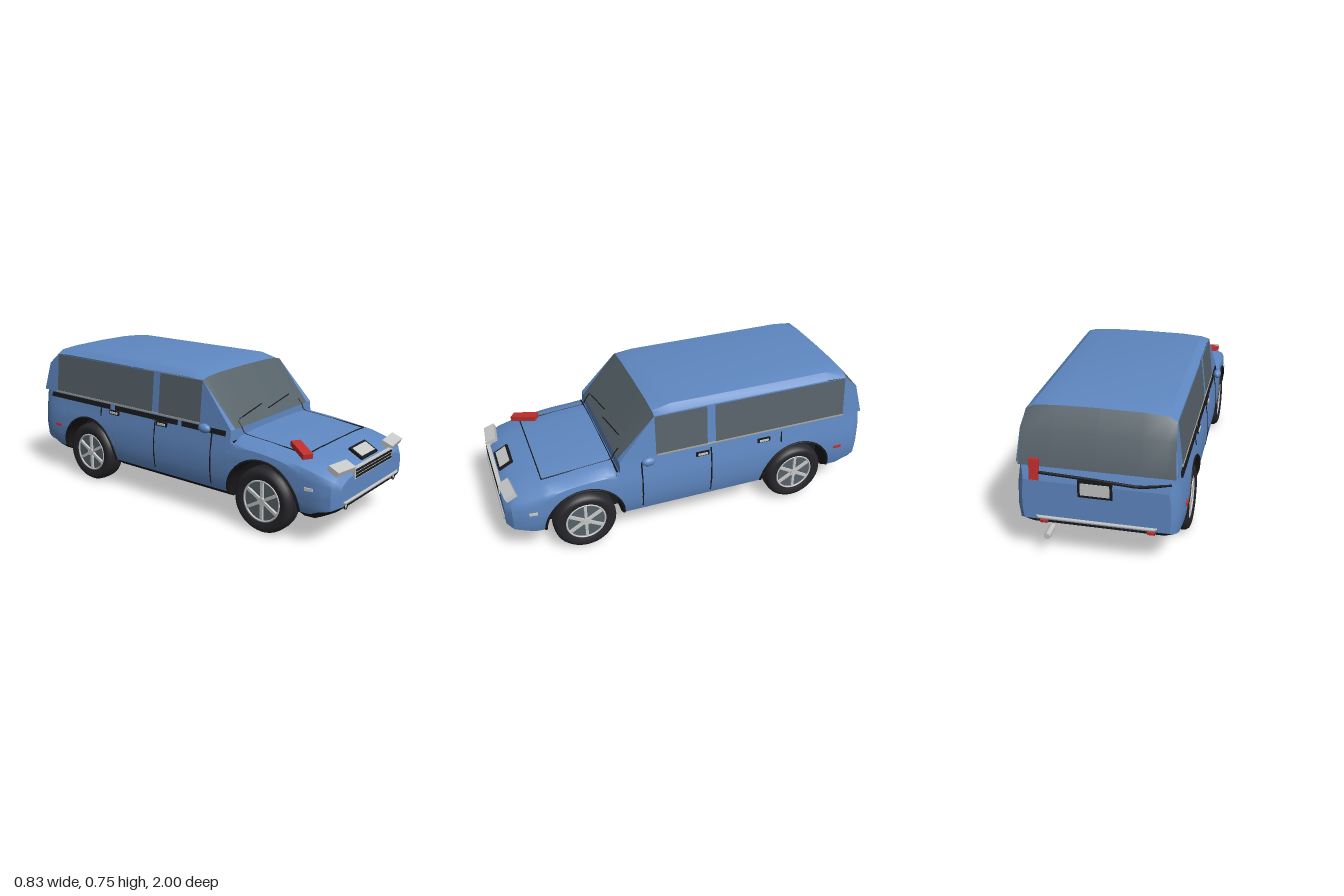
import * as THREE from 'three';
import { toCreasedNormals } from 'three/addons/utils/BufferGeometryUtils.js';

const mat = (name, color, open) => {
  const m = new THREE.MeshStandardMaterial({ color });
  m.name = name;
  if (open) m.side = THREE.DoubleSide;
  return m;
};
const PAINT = mat('bluePaint', 0x5f88c2, true), GLASS = mat('tintedGlass', 0x566269, true);
const TRIM = mat('blackTrim', 0x19191c, true), TIRE = mat('tireRubber', 0x26262b);
const CHROME = mat('silver', 0xc6c8c8), RED = mat('redLens', 0xc22f2f), CREAM = mat('paleTrim', 0xa9a99c);

// linear lookup in a table of [key, value] with ascending keys
const look = (t, k) => {
  if (k <= t[0][0]) return t[0][1];
  for (let i = 1; i < t.length; i++) if (k <= t[i][0]) {
    const [a, u] = t[i - 1], [b, v] = t[i];
    return u + (v - u) * (k - a) / (b - a);
  }
  return t[t.length - 1][1];
};
const TOP = [[-0.99, 0.41], [-0.983, 0.44], [-0.97, 0.48], [0.408, 0.48], [0.41, 0.42], [0.428, 0.42],
  [0.43, 0.458], [0.6, 0.445], [0.8, 0.422], [0.9, 0.397], [0.96, 0.373], [0.99, 0.345]];
const BOTTOM = [[-0.99, 0.2], [-0.95, 0.17], [-0.86, 0.127], [0.86, 0.127], [0.95, 0.17], [0.99, 0.2]];
const RISE = [[-0.99, 0.01], [-0.9, 0.036], [0.9, 0.036], [0.99, 0.01]];
const PLAN = [[-0.99, 0.88], [-0.97, 0.94], [-0.93, 0.98], [-0.85, 1], [0.6, 1], [0.75, 0.99], [0.9, 0.955], [0.96, 0.9], [0.99, 0.79]];
const SIDE = [[0.13, 0.358], [0.2, 0.381], [0.27, 0.389], [0.36, 0.385], [0.42, 0.375], [0.48, 0.366]];
const AXLES = [0.6, -0.59], WHEEL_Y = 0.165, ARCH = 0.205;
const sideX = (y, z) => look(SIDE, y) * look(PLAN, z);

export function createModel() {
  const car = new THREE.Group();
  car.name = 'car';
  const add = (name, geo, m, pos = [0, 0, 0], rot = [0, 0, 0], parent = car) => {
    const mesh = new THREE.Mesh(geo, m);
    mesh.name = name;
    mesh.position.set(...pos);
    mesh.rotation.set(...rot);
    parent.add(mesh);
    return mesh;
  };
  const box = (name, m, size, pos, rot, parent) => add(name, new THREE.BoxGeometry(...size), m, pos, rot, parent);
  const line = (name, m, pts, r = 0.003) => add(name, new THREE.TubeGeometry(
    new THREE.CatmullRomCurve3(pts.map(p => new THREE.Vector3(...p)), false, 'catmullrom', 0.1), pts.length * 4, r, 6), m);
  // surface through rows of points
  const patch = (name, m, rows, crease = 0.6) => {
    const n = rows[0].length, idx = [];
    for (let i = 0; i < rows.length - 1; i++) for (let j = 0; j < n - 1; j++) {
      const a = i * n + j, b = a + n;
      idx.push(a, a + 1, b + 1, a, b + 1, b);
    }
    const g = new THREE.BufferGeometry();
    g.setAttribute('position', new THREE.Float32BufferAttribute(rows.flat(2), 3));
    g.setIndex(idx);
    return add(name, toCreasedNormals(g, crease), m);
  };
  const flip = row => row.map(([x, y, z]) => [-x, y, z]).reverse();

  // lower body: half sections along z, with open wheel arches
  const stations = [0.99, 0.98, 0.96, 0.93, 0.9, 0.86, 0.43, 0.428, 0.41, 0.408, 0.38, 0.2, 0, -0.2, -0.37, -0.82, -0.86, -0.9, -0.93, -0.95, -0.97, -0.983, -0.99];
  for (const c of AXLES) {
    stations.push(c + ARCH, c - ARCH);
    for (let k = 0; k <= 18; k++) stations.push(c + ARCH * 0.9999 * Math.cos(k * Math.PI / 18));
  }
  stations.sort((a, b) => b - a);
  const N = 8;
  const halves = stations.map(z => {
    const yt = look(TOP, z), y0 = look(BOTTOM, z), s = look(PLAN, z);
    const drop = z > 0.429 ? 1 : 0;
    const axle = AXLES.find(c => Math.abs(z - c) < ARCH * 0.99995);
    const inWheel = axle !== undefined;
    const yb = inWheel ? WHEEL_Y + Math.sqrt(ARCH ** 2 - (z - axle) ** 2) : y0 + look(RISE, z);
    const ys = yt - 0.035 * drop;
    const upper = [[0, yt, z], [0.19 * s, yt - 0.002 * drop, z], [0.31 * s, yt - 0.012 * drop, z]];
    for (let k = 0; k <= N; k++) {
      const y = ys + (yb - ys) * k / N;
      upper.push([sideX(y, z) - (k ? 0 : 0.008 * drop), y, z]);
    }
    const wi = inWheel ? 0.25 : 0.32 * s;
    const lower = [upper[upper.length - 1], [wi, inWheel ? yb : y0, z], [wi, y0, z], [0, y0, z]];
    return { upper, lower };
  });
  patch('bodyShell', PAINT, halves.map(h => [...flip(h.upper), ...h.upper]));
  patch('underbody', TRIM, halves.map(h => [...h.lower, ...flip(h.lower)]), 0.4);
  const mirrorRow = row => row.map(([x, y, z]) => [-x, y, z]);
  const nose = halves[0].upper, tail = halves[halves.length - 1].upper;
  patch('nosePanel', PAINT, [mirrorRow(nose), nose]);
  patch('tailPanel', PAINT, [tail, mirrorRow(tail)]);

  // cabin
  const sym = (xs, ys, z) => {
    const half = xs.map((x, i) => [x, ys[i], Array.isArray(z) ? z[i] : z]);
    return [...mirrorRow(half), ...half.slice(0, -1).reverse()];
  };
  const RX = [0.342, 0.305, 0.2, 0];
  const roofFront = sym(RX, [0.7, 0.71, 0.718, 0.72], 0.215);
  const roofRear = sym(RX, [0.7, 0.722, 0.73, 0.733], -0.865);
  patch('roof', PAINT, [roofFront, sym(RX, [0.704, 0.733, 0.742, 0.746], 0.12),
    sym(RX, [0.704, 0.733, 0.742, 0.746], -0.76), roofRear], 0.5);
  patch('windshield', GLASS, [sym([0.33, 0.29, 0.19, 0], [0.48, 0.48, 0.48, 0.48], 0.41), roofFront]);
  patch('rearWindow', GLASS, [roofRear, sym([0.35, 0.31, 0.2, 0], [0.64, 0.64, 0.64, 0.64], -0.932),
    sym([0.358, 0.31, 0.2, 0], [0.475, 0.475, 0.475, 0.475], -0.973)], 0.8);

  for (const s of [1, -1]) {
    const wall = (z, t, out = 0) => [s * (0.366 - 0.024 * t + out), 0.48 + 0.22 * t, z];
    const order = rows => (s > 0 ? rows : rows.reverse());
    patch('cabinSide', PAINT, order([[wall(0.215, 1), wall(0.41, 0)], [wall(-0.865, 1), wall(-0.86, 0)],
      [[s * 0.35, 0.64, -0.932], wall(-0.973, 0)]]), 0.3);
    patch('windshieldPillar', PAINT, order([[roofFront[s > 0 ? 6 : 0], [s * 0.33, 0.48, 0.41]], [wall(0.215, 1), wall(0.41, 0)]]));
    for (const [a, b] of [[0.215, -0.065], [-0.11, -0.86]])
      patch('sideWindow', GLASS, order([[wall(a, 0.99, 0.003), wall(a, 0.03, 0.003)], [wall(b, 0.99, 0.003), wall(b, 0.03, 0.003)]]));
    box('windowSill', CREAM, [0.008, 0.008, 1.07], [s * 0.367, 0.484, -0.325]);

    // door seams and handles
    const seam = (z, y0) => line('doorSeam', TRIM, [0.46, 0.4, 0.33, 0.27, 0.19].filter(y => y >= y0).map(y => [s * sideX(y, z), y, z]), 0.004);
    seam(0.295, 0.19);
    seam(-0.085, 0.19);
    seam(-0.49, 0.38);
    for (const z of [-0.035, -0.385]) {
      box('handleRecess', TRIM, [0.012, 0.024, 0.072], [s * 0.373, 0.435, z]);
      box('doorHandle', CHROME, [0.012, 0.011, 0.052], [s * 0.378, 0.435, z]);
    }
    // side markers
    box('frontMarker', CHROME, [0.012, 0.014, 0.042], [s * sideX(0.29, 0.86), 0.29, 0.86], [0, -s * 0.15, 0]);
    box('rearMarker', RED, [0.012, 0.014, 0.042], [s * sideX(0.29, -0.84), 0.29, -0.84]);

    // wheel arch lips
    for (const c of AXLES) {
      const lip = [];
      for (let k = 0; k <= 16; k++) {
        const a = k * Math.PI / 16, y = WHEEL_Y + ARCH * Math.sin(a), z = c + ARCH * Math.cos(a);
        lip.push([s * sideX(y, z), y, z]);
      }
      line('archLip', TRIM, lip, 0.007);
    }
    // door mirror
    add('mirror', new THREE.SphereGeometry(1, 20, 14), PAINT, [s * 0.394, 0.473, 0.265]).scale.set(0.021, 0.024, 0.036);
    line('mirrorStalk', PAINT, [[s * 0.385, 0.468, 0.27], [s * 0.335, 0.456, 0.31]], 0.005);

    // front and rear lamps
    box('headlight', CHROME, [0.14, 0.026, 0.06], [s * 0.257, 0.381, 0.958], [0.4, s * 0.1, 0]);
    const fog = add('fogLight', new THREE.CylinderGeometry(0.013, 0.016, 0.02, 16), CHROME, [s * 0.248, 0.201, 0.975], [Math.PI / 2, 0, 0]);
    add('fogRim', new THREE.TorusGeometry(0.015, 0.003, 6, 18), TRIM, [0, 0.01, 0], [Math.PI / 2, 0, 0], fog);
    box('rearReflector', RED, [0.035, 0.012, 0.02], [s * 0.25, 0.19, -0.97]);
    line('bumperStrip', CHROME, [[-0.295, 0.232, s * 0.972], [-0.27, 0.222, s * 0.99], [0.27, 0.222, s * 0.99], [0.295, 0.232, s * 0.972]], 0.009);

    // hood side seam
    line('hoodSeam', TRIM, [[s * 0.278, 0.418, 0.79], [s * 0.278, 0.434, 0.6], [s * 0.278, 0.448, 0.43], [s * 0.278, 0.484, 0.41], [s * 0.278, 0.51, 0.388]]);
  }
  line('hoodFrontSeam', TRIM, [[-0.278, 0.418, 0.79], [-0.19, 0.423, 0.79], [0.19, 0.423, 0.79], [0.278, 0.418, 0.79]]);
  line('cowlSeam', TRIM, [[-0.36, 0.425, 0.42], [0.36, 0.425, 0.42]], 0.005);
  line('wiper', TRIM, [[-0.265, 0.515, 0.387], [-0.045, 0.543, 0.364]]);
  line('wiper', TRIM, [[-0.01, 0.517, 0.385], [0.213, 0.542, 0.364]]);

  // belt moulding on the right side, carried round onto the tailgate
  for (const [a, b] of [[0.38, 0.1], [0.07, -0.38], [-0.42, -0.9]])
    box('beltMoulding', TRIM, [0.008, 0.026, a - b], [-0.371, 0.462, (a + b) / 2], [0, 0, -0.14]);
  line('tailgateSeam', TRIM, [[0.3, 0.45, -0.981], [0, 0.44, -0.985], [-0.2, 0.43, -0.988], [-0.34, 0.45, -0.975]], 0.007);

  // grille
  box('grilleFrame', CHROME, [0.385, 0.052, 0.02], [0, 0.343, 0.985]);
  for (const y of [0.327, 0.343, 0.359]) box('grilleSlot', TRIM, [0.37, 0.011, 0.006], [0, y, 0.994]);

  // number plates
  for (const [name, pos, rot] of [['frontPlate', [0, 0.398, 0.932], [-1.08, 0, 0]], ['rearPlate', [0, 0.393, -0.989], [0, Math.PI, 0]]]) {
    const plate = new THREE.Group();
    plate.name = name;
    plate.position.set(...pos);
    plate.rotation.set(...rot);
    box('plateFrame', TRIM, [0.158, 0.084, 0.012], [0, 0, 0], [0, 0, 0], plate);
    box('plateFace', CHROME, [0.134, 0.06, 0.006], [0, 0, 0.005], [0, 0, 0], plate);
    car.add(plate);
  }

  // red lamps: one on the tail, one lying on the hood
  box('tailLight', RED, [0.045, 0.1, 0.024], [0.28, 0.462, -0.976], [0.1, 0, 0]);
  box('hoodLamp', RED, [0.05, 0.026, 0.145], [-0.284, 0.437, 0.76]).lookAt(-0.364, 0.412, 0.88);
  add('exhaustPipe', new THREE.CylinderGeometry(0.015, 0.015, 0.088, 18), CHROME, [0.235, 0.116, -0.945], [Math.PI / 2, 0, 0]);

  // wheels, axis along x
  const profile = [[0.105, -0.05], [0.135, -0.059], [0.152, -0.053], [0.162, -0.038], [0.165, -0.018], [0.158, -0.016], [0.158, -0.011],
    [0.165, -0.009], [0.165, 0.009], [0.158, 0.011], [0.158, 0.016], [0.165, 0.018], [0.162, 0.038], [0.152, 0.053], [0.135, 0.059], [0.108, 0.05], [0.104, 0.03]]
    .map(p => new THREE.Vector2(...p));
  const tire = toCreasedNormals(new THREE.LatheGeometry(profile, 40).rotateZ(-Math.PI / 2), 0.7);
  const disc = r => new THREE.CylinderGeometry(r, r, 0.01, 32).rotateZ(Math.PI / 2);
  for (const c of AXLES) for (const s of [1, -1]) {
    const wheel = new THREE.Group();
    wheel.name = 'wheel';
    wheel.position.set(s * 0.326, WHEEL_Y, c);
    wheel.rotation.y = s > 0 ? 0 : Math.PI;
    add('tire', tire, TIRE, [0, 0, 0], [0, 0, 0], wheel);
    add('innerDisc', disc(0.107), TIRE, [-0.045, 0, 0], [0, 0, 0], wheel);
    add('rimDisc', disc(0.106), GLASS, [0.032, 0, 0], [0, 0, 0], wheel);
    add('rimRing', new THREE.TorusGeometry(0.102, 0.005, 8, 36), CHROME, [0.046, 0, 0], [0, Math.PI / 2, 0], wheel);
    add('hub', disc(0.02), CHROME, [0.049, 0, 0], [0, 0, 0], wheel);
    for (let k = 0; k < 6; k++) {
      const a = k * Math.PI / 3;
      box('spoke', CHROME, [0.012, 0.086, 0.015], [0.043, 0.058 * Math.cos(a), 0.058 * Math.sin(a)], [a, 0, 0], wheel);
    }
    car.add(wheel);
  }
  return car;
}
